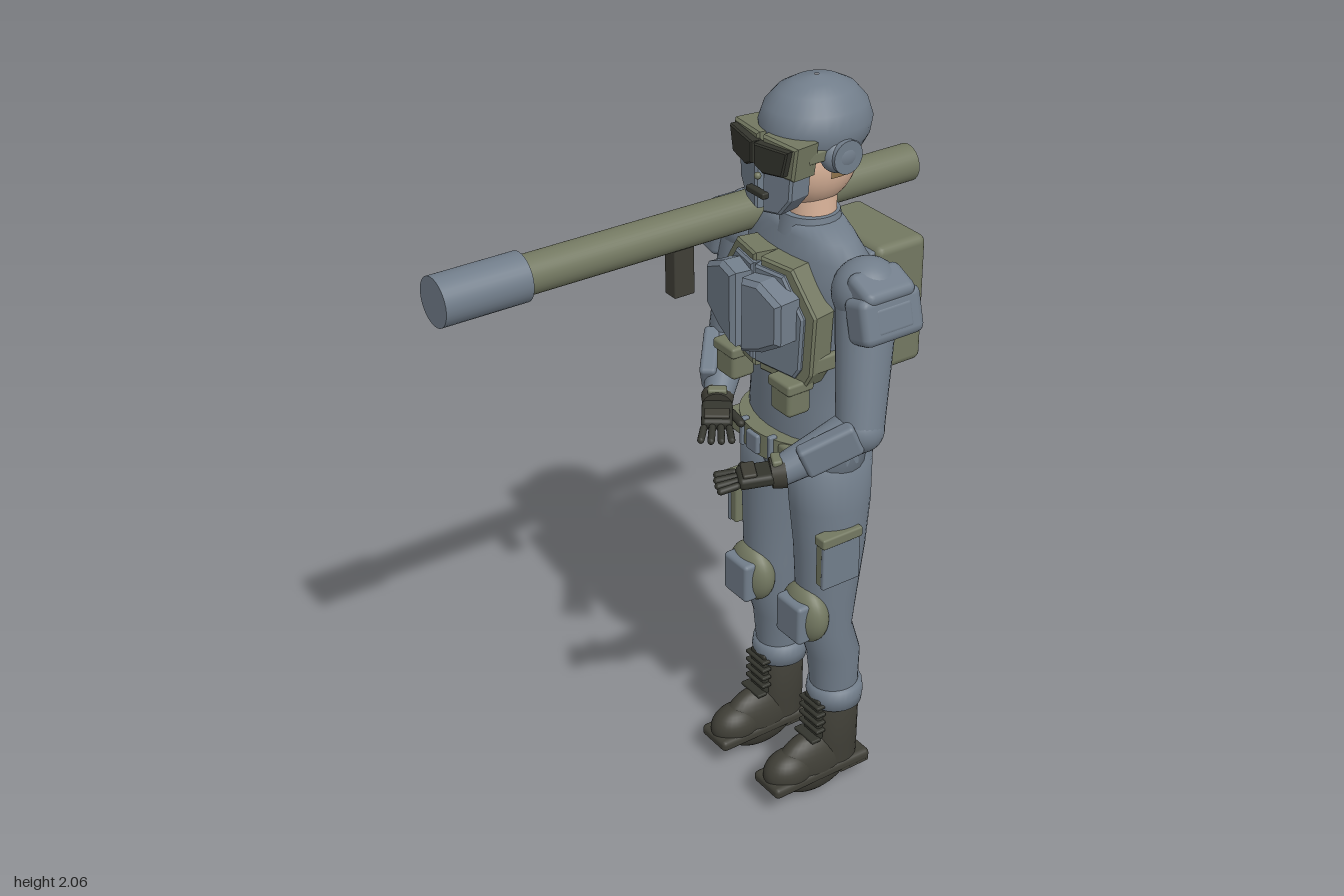
import * as THREE from 'three';
import { RoundedBoxGeometry } from 'three/addons/geometries/RoundedBoxGeometry.js';

const X0 = -0.017; // body centre line
const mat = (name, color) => Object.assign(new THREE.MeshStandardMaterial({ color }), { name });
const V = (x, y, z) => new THREE.Vector3(x, y, z);

export function createModel() {
  const cloth = mat('blueGrey', 0x717d8a), olive = mat('olive', 0x737861), boot = mat('bootDark', 0x3f3e36),
    glove = mat('gloveDark', 0x33342d), skin = mat('skin', 0xdcb59b), hair = mat('hairTan', 0x94774f);
  const root = new THREE.Group();
  root.name = 'soldier';

  const add = (name, geo, m, pos = [0, 0, 0], rot = [0, 0, 0], parent = root) => {
    const mesh = new THREE.Mesh(geo, m);
    mesh.name = name;
    mesh.position.set(...pos);
    mesh.rotation.set(...rot);
    parent.add(mesh);
    return mesh;
  };
  const box = (w, h, d, r = 0.012) => new RoundedBoxGeometry(w, h, d, 2, Math.min(r, w / 2.1, h / 2.1, d / 2.1));
  const ball = (rx, ry, rz, ...part) => new THREE.SphereGeometry(1, 28, 18, ...part).scale(rx, ry, rz);

  // Smooth body from stacked ellipses [y, cx, cz, rx, rz]
  const loft = (rows, n = 28) => {
    const pos = [], idx = [];
    rows.forEach(([y, cx, cz, rx, rz]) => {
      for (let j = 0; j < n; j++) {
        const a = (j / n) * Math.PI * 2;
        pos.push(cx + rx * Math.cos(a), y, cz + rz * Math.sin(a));
      }
    });
    for (let i = 0; i < rows.length - 1; i++) {
      for (let j = 0; j < n; j++) {
        const k = (j + 1) % n, a = i * n + j, b = i * n + k;
        idx.push(a, a + n, b, b, a + n, b + n);
      }
    }
    const g = new THREE.BufferGeometry();
    g.setAttribute('position', new THREE.Float32BufferAttribute(pos, 3));
    g.setIndex(idx);
    g.computeVertexNormals();
    return g;
  };

  // Tapered cylinder between two points
  const limb = (name, a, b, ra, rb, m) => {
    const d = b.clone().sub(a);
    const mesh = add(name, new THREE.CylinderGeometry(rb, ra, d.length(), 24), m, a.clone().lerp(b, 0.5).toArray());
    mesh.quaternion.setFromUnitVectors(V(0, 1, 0), d.normalize());
  };

  // Pair of mirrored bevelled plates, swept back from the centre line
  const halves = (name, pts, depth, z, angle, m, bevel = 0.006) => {
    for (const s of [1, -1]) {
      const shape = new THREE.Shape(pts.map(([x, y]) => new THREE.Vector2(x * s, y)));
      const g = new THREE.ExtrudeGeometry(shape, {
        depth, bevelEnabled: bevel > 0, bevelSize: bevel, bevelThickness: bevel, bevelOffset: -bevel, bevelSegments: 1 });
      add(name, g, m, [X0, 0, z], [0, s * angle, 0]);
    }
  };

  // Torso, collar and neck
  add('torso', loft([[0.92, X0, -0.25, 0.02, 0.02], [0.94, X0, -0.25, 0.13, 0.1], [1.0, X0, -0.252, 0.197, 0.122],
    [1.08, X0, -0.252, 0.19, 0.122], [1.18, X0, -0.25, 0.175, 0.122], [1.35, X0, -0.248, 0.185, 0.118],
    [1.5, X0, -0.245, 0.215, 0.11], [1.58, X0, -0.248, 0.215, 0.092], [1.62, X0, -0.25, 0.155, 0.08],
    [1.645, X0, -0.25, 0.09, 0.075], [1.65, X0, -0.25, 0.01, 0.01]]), cloth);
  add('collar', new THREE.CylinderGeometry(0.074, 0.085, 0.05, 24), cloth, [X0, 1.636, -0.25]);
  add('neck', new THREE.CylinderGeometry(0.06, 0.063, 0.14, 24), skin, [X0, 1.68, -0.255]);

  // Head, helmet and ear cups
  add('head', ball(0.094, 0.125, 0.12), skin, [X0, 1.8, -0.255]);
  add('hair', ball(0.1, 0.13, 0.125, Math.PI * 0.95, Math.PI * 1.1, 0.5, 1.29), hair, [X0, 1.8, -0.255]).material.side = THREE.DoubleSide;
  add('helmet', loft([[1.832, X0, -0.258, 0.02, 0.02], [1.835, X0, -0.258, 0.112, 0.125], [1.86, X0, -0.258, 0.124, 0.139],
    [1.895, X0, -0.26, 0.128, 0.144], [1.935, X0, -0.26, 0.115, 0.131], [1.97, X0, -0.26, 0.085, 0.1],
    [1.99, X0, -0.26, 0.05, 0.06], [2.0, X0, -0.26, 0.005, 0.006]], 32), cloth);
  for (const s of [1, -1]) {
    add('earCup', ball(0.035, 0.047, 0.055), cloth, [X0 + s * 0.105, 1.836, -0.255]);
    add('earCupRim', new THREE.CylinderGeometry(0.042, 0.042, 0.03, 24), cloth, [X0 + s * 0.122, 1.836, -0.255], [0, 0, Math.PI / 2]);
    add('goggleStrap', box(0.012, 0.03, 0.09), olive, [X0 + s * 0.108, 1.845, -0.2]);
  }

  // Goggles and face guard
  halves('goggleFrame', [[0, 1.888], [0.118, 1.885], [0.106, 1.8], [0.03, 1.795], [0, 1.808]], 0.065, -0.166, 0.12, olive);
  halves('goggleLens', [[0, 1.872], [0.112, 1.878], [0.096, 1.812], [0.03, 1.803], [0, 1.818]], 0.024, -0.1, 0.15, glove, 0.004);
  halves('faceGuard', [[0, 1.815], [0.094, 1.81], [0.09, 1.745], [0.055, 1.7], [0, 1.692]], 0.06, -0.158, 0.2, cloth);
  add('mouthVent', box(0.07, 0.016, 0.02, 0.004), glove, [X0, 1.742, -0.09]);
  add('guardStud', ball(0.009, 0.009, 0.009), olive, [X0, 1.783, -0.09]);

  // Chest rig
  halves('vestFrame', [[0, 1.575], [0.105, 1.575], [0.185, 1.47], [0.175, 1.31], [0.15, 1.265], [0, 1.265]], 0.06, -0.155, 0.18, olive);
  halves('vestPanel', [[0, 1.555], [0.095, 1.555], [0.163, 1.46], [0.155, 1.32], [0.135, 1.29], [0, 1.29]], 0.02, -0.103, 0.18, cloth);
  halves('chestPlate', [[0.006, 1.535], [0.07, 1.545], [0.145, 1.51], [0.145, 1.4], [0.08, 1.36], [0.006, 1.335]], 0.06, -0.095, 0.12, cloth, 0.012);
  for (const s of [1, -1]) {
    add('chestPouch', box(0.08, 0.085, 0.07), olive, [X0 + s * 0.118, 1.235, -0.11]);
    add('chestPouchFlap', box(0.09, 0.03, 0.08, 0.008), olive, [X0 + s * 0.118, 1.272, -0.11]);
    add('vestSideStrap', box(0.025, 0.045, 0.16, 0.008), olive, [X0 + s * 0.17, 1.33, -0.21]);
  }

  // Belt with loops and rear flaps
  add('belt', new THREE.CylinderGeometry(1, 1, 0.065, 40).scale(0.184, 1, 0.16), olive, [X0, 1.053, -0.245]);
  for (const s of [1, -1]) {
    add('beltLoop', box(0.016, 0.08, 0.025, 0.005), cloth, [X0 + s * 0.06, 1.053, -0.098]);
    add('beltPouch', box(0.07, 0.06, 0.05), olive, [X0 + s * 0.11, 1.053, -0.125]);
    add('hipLoop', box(0.03, 0.08, 0.045, 0.006), cloth, [X0 + s * 0.178, 1.053, -0.255]);
    add('rearFlap', box(0.085, 0.13, 0.015, 0.005), cloth, [X0 + s * 0.075, 0.975, -0.377]);
  }
  add('rearLoop', box(0.018, 0.075, 0.02, 0.005), boot, [X0, 1.053, -0.405]);
  add('buckle', box(0.05, 0.055, 0.02, 0.006), cloth, [X0, 1.053, -0.085]);

  // Legs, knee pads and boots
  for (const s of [1, -1]) {
    const lx = (d) => X0 + s * d;
    add('leg', loft([[0.25, lx(0.126), -0.272, 0.06, 0.065], [0.4, lx(0.123), -0.265, 0.072, 0.074],
      [0.5, lx(0.12), -0.235, 0.075, 0.074], [0.6, lx(0.118), -0.24, 0.08, 0.084], [0.75, lx(0.115), -0.248, 0.09, 0.098],
      [0.88, lx(0.107), -0.252, 0.098, 0.112], [1.0, lx(0.1), -0.252, 0.098, 0.12], [1.03, lx(0.1), -0.252, 0.05, 0.06]]), cloth);
    add('trouserCuff', loft([[0.228, lx(0.126), -0.272, 0.055, 0.06], [0.235, lx(0.126), -0.272, 0.074, 0.076], [0.265, lx(0.126), -0.272, 0.078, 0.079],
      [0.295, lx(0.126), -0.272, 0.074, 0.076], [0.303, lx(0.126), -0.272, 0.05, 0.05]]), cloth);
    add('kneePad', ball(0.082, 0.087, 0.05), olive, [lx(0.12), 0.558, -0.17]);
    add('kneePlate', box(0.105, 0.118, 0.045), cloth, [lx(0.12), 0.553, -0.132]);
    add('thighPocket', box(0.03, 0.15, 0.115, 0.006), olive, [lx(0.192), 0.757, -0.213]);
    add('thighPocketPanel', box(0.014, 0.14, 0.12, 0.005), cloth, [lx(0.208), 0.75, -0.213]);
    add('thighPocketFlap', box(0.042, 0.03, 0.128, 0.006), olive, [lx(0.198), 0.823, -0.213]);

    const bx = lx(0.126);
    add('bootShaft', loft([[0.04, bx, -0.272, 0.056, 0.07], [0.1, bx, -0.272, 0.058, 0.072],
      [0.24, bx, -0.274, 0.062, 0.068], [0.25, bx, -0.274, 0.02, 0.02]]), boot);
    add('bootInstep', ball(0.056, 0.1, 0.13), boot, [bx, 0.045, -0.205]);
    add('bootToe', ball(0.057, 0.062, 0.08), boot, [bx, 0.047, -0.122]);
    add('bootSole', box(0.114, 0.035, 0.325, 0.014), boot, [bx, 0.0235, -0.202]);
    add('bootHeel', box(0.108, 0.03, 0.1, 0.006), boot, [bx, 0.015, -0.312]);
    add('bootTongue', box(0.065, 0.135, 0.02, 0.006), glove, [bx, 0.198, -0.203]);
    for (let i = 0; i < 5; i++) add('bootLace', box(0.085, 0.011, 0.03, 0.004), glove, [bx, 0.14 + i * 0.027, -0.198 + (i < 1 ? 0.015 : 0)]);
  }

  // Arms: shoulder, elbow, wrist and fingertip points for each side
  const arms = [
    [1, V(0.225, 1.535, -0.24), V(0.303, 1.215, -0.17), V(0.235, 1.125, 0.02), V(0.15, 1.105, 0.18)],
    [-1, V(-0.26, 1.535, -0.25), V(-0.295, 1.205, -0.21), V(-0.165, 1.11, -0.075), V(-0.035, 1.075, 0.02)],
  ];
  for (const [s, sh, el, wr, tip] of arms) {
    add('shoulder', ball(0.085, 0.085, 0.088), cloth, [sh.x, sh.y, sh.z]);
    limb('upperArm', sh, el, 0.078, 0.06, cloth);
    add('elbow', ball(0.061, 0.061, 0.061), cloth, el.toArray());
    limb('forearm', el, wr, 0.06, 0.038, cloth);

    add('shoulderPadTop', box(0.1, 0.08, 0.15, 0.022), cloth, [sh.x + s * 0.045, 1.555, sh.z], [0, 0, -s * 0.4]);
    add('shoulderPad', box(0.085, 0.12, 0.182, 0.022), cloth, [sh.x + s * 0.068, 1.5, sh.z], [0, 0, s * 0.25]);
    add('shoulderPadPlate', box(0.03, 0.07, 0.11, 0.01), cloth, [sh.x + s * 0.097, 1.505, sh.z], [0, 0, s * 0.25]);

    const guard = new THREE.Group();
    guard.name = 'forearmGuard';
    guard.position.copy(el);
    guard.lookAt(wr);
    root.add(guard);
    add('guardPlate', box(0.045, 0.085, 0.15), cloth, [s * 0.036, 0.012, 0.09], [0, -s * 0.08, 0], guard);

    const hand = new THREE.Group();
    hand.name = 'hand';
    hand.position.copy(wr);
    hand.lookAt(tip);
    root.add(hand);
    add('gloveCuff', new THREE.CylinderGeometry(0.038, 0.043, 0.035, 20), boot, [0, 0, 0.005], [Math.PI / 2, 0, 0], hand);
    add('cuffStrap', box(0.05, 0.02, 0.025, 0.006), olive, [0, 0.034, 0.005], [0, 0, 0], hand);
    add('palm', box(0.08, 0.032, 0.09), glove, [0, 0, 0.06], [0, 0, 0], hand);
    add('knucklePlate', box(0.066, 0.012, 0.035, 0.005), boot, [0, 0.018, 0.075], [0, 0, 0], hand);
    for (let i = 0; i < 4; i++) {
      const t = i - 1.5, len = 0.05 - Math.abs(t) * 0.006;
      add('finger', new THREE.CapsuleGeometry(0.0095, len, 4, 10), glove, [t * 0.024, -0.003, 0.13], [Math.PI / 2 + 0.1, 0, -t * 0.1], hand);
    }
    add('thumb', new THREE.CapsuleGeometry(0.011, 0.045, 4, 10), glove, [-s * 0.05, -0.006, 0.065], [Math.PI / 2, 0, s * 0.55], hand);
  }

  // Backpack
  add('backpack', box(0.275, 0.35, 0.155, 0.022), olive, [X0, 1.393, -0.437]);
  add('backpackFrame', box(0.24, 0.31, 0.02, 0.006), cloth, [X0, 1.4, -0.357]);

  // Shoulder launcher
  add('launchTube', new THREE.CylinderGeometry(0.05, 0.05, 1.18, 32), olive, [-0.19, 1.607, -0.11], [Math.PI / 2, 0, 0]);
  add('launcherMuzzle', new THREE.CylinderGeometry(0.063, 0.063, 0.232, 32), cloth, [-0.19, 1.607, 0.584], [Math.PI / 2, 0, 0]);
  add('launcherGrip', box(0.045, 0.14, 0.06, 0.004), boot, [-0.19, 1.503, 0.02]);

  return root;
}
